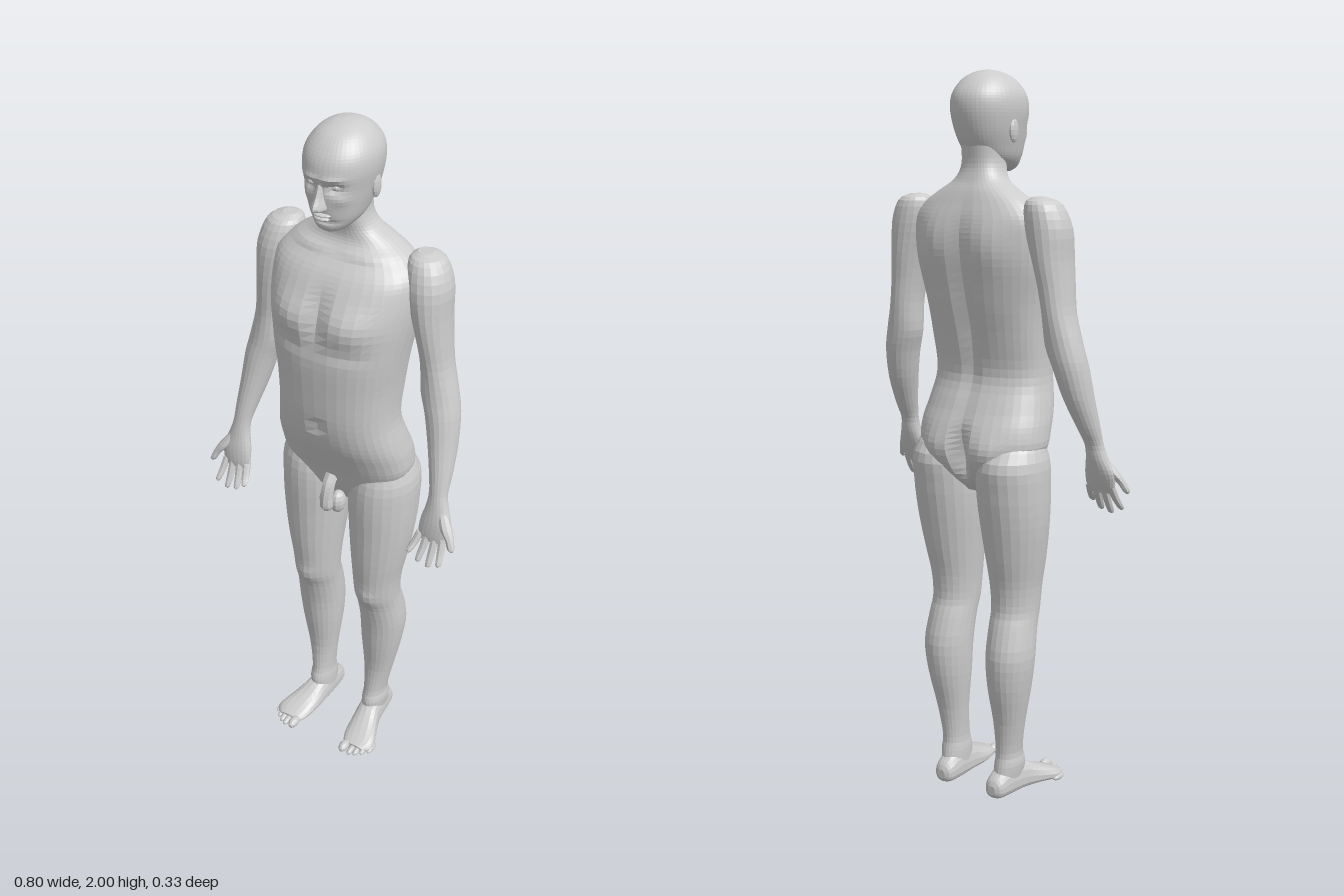
import * as THREE from 'three';

const skin = new THREE.MeshStandardMaterial({ color: 0xcccccc });
skin.name = 'paleGrey';

// Faceted mesh from any geometry
function addPart(group, name, geometry) {
  const flat = geometry.index ? geometry.toNonIndexed() : geometry;
  flat.computeVertexNormals();
  const mesh = new THREE.Mesh(flat, skin);
  mesh.name = name;
  group.add(mesh);
  return mesh;
}

// Smooth skin through level rings [x, y, z, halfWidth, frontZ, backZ].
// Bumps [x, y, z, rx, ry, rz, amount] swell or dent it, mirrored about x = 0 when centred.
function loft(rings, { seg = 20, steps = 3, side = 1, square = 1, bumps = [] } = {}) {
  const centre = new THREE.CatmullRomCurve3(rings.map(r => new THREE.Vector3(r[0], r[1], r[2])), false, 'catmullrom', 0.5);
  const size = new THREE.CatmullRomCurve3(rings.map(r => new THREE.Vector3(r[3], r[4] - r[2], r[2] - r[5])), false, 'catmullrom', 0.5);
  const rows = (rings.length - 1) * steps;
  const pos = [], index = [];
  const bend = v => Math.sign(v) * Math.pow(Math.abs(v), square);
  const flip = (rings[rings.length - 1][1] > rings[0][1]) !== (side > 0);
  const tri = (a, b, c) => (flip ? index.push(a, c, b) : index.push(a, b, c));
  for (let i = 0; i <= rows; i++) {
    const c = centre.getPoint(i / rows), s = size.getPoint(i / rows);
    for (let j = 0; j < seg; j++) {
      const a = (j / seg) * Math.PI * 2;
      const dx = bend(Math.sin(a)), dz = bend(Math.cos(a));
      let x = c.x + s.x * dx, z = c.z + (dz > 0 ? s.y : s.z) * dz;
      let push = 0;
      for (const [bx, by, bz, rx, ry, rz, amount] of bumps) {
        const d = ((Math.abs(x) - bx) / rx) ** 2 + ((c.y - by) / ry) ** 2 + ((z - bz) / rz) ** 2;
        push += amount * Math.exp(-d);
      }
      x += push * Math.sin(a) * 0.5;
      z += push * Math.cos(a);
      pos.push(x * side, c.y, z);
    }
  }
  for (let i = 0; i < rows; i++) {
    for (let j = 0; j < seg; j++) {
      const k = (j + 1) % seg, a = i * seg, b = a + seg;
      tri(a + j, a + k, b + k);
      tri(a + j, b + k, b + j);
    }
  }
  // end caps
  for (const [ring, row, first] of [[rings[0], 0, true], [rings[rings.length - 1], rows, false]]) {
    const mid = pos.length / 3;
    pos.push(ring[0] * side, ring[1], ring[2]);
    for (let j = 0; j < seg; j++) {
      const a = row * seg + j, b = row * seg + (j + 1) % seg;
      first ? tri(mid, b, a) : tri(mid, a, b);
    }
  }
  const g = new THREE.BufferGeometry();
  g.setAttribute('position', new THREE.Float32BufferAttribute(pos, 3));
  g.setIndex(index);
  return g;
}

const blob = (x, y, z, rx, ry, rz, seg = 10) =>
  new THREE.SphereGeometry(1, seg, 8).scale(rx, ry, rz).translate(x, y, z);

// Round tapering digit through [x, y, z, radius] points
const digit = (points, side) => loft(points.map(([x, y, z, r]) => [x, y, z, r, z + r, z - r]), { seg: 8, side });

function buildTorso(body) {
  addPart(body, 'torso', loft([
    [0, 0.88, -0.03, 0.05, 0.02, -0.08], [0, 0.93, -0.03, 0.13, 0.05, -0.125],
    [0, 1.0, -0.03, 0.188, 0.075, -0.145], [0, 1.06, -0.02, 0.193, 0.1, -0.14],
    [0, 1.12, 0, 0.184, 0.125, -0.115], [0, 1.2, 0.01, 0.17, 0.142, -0.085],
    [0, 1.3, 0, 0.174, 0.148, -0.1], [0, 1.4, 0, 0.186, 0.15, -0.125],
    [0, 1.5, -0.02, 0.202, 0.14, -0.14], [0, 1.57, -0.03, 0.206, 0.115, -0.142],
    [0, 1.62, -0.04, 0.2, 0.085, -0.135], [0, 1.66, -0.05, 0.165, 0.045, -0.122],
    [0, 1.69, -0.05, 0.12, 0.022, -0.11], [0, 1.72, -0.04, 0.075, 0.02, -0.095],
    [0, 1.76, -0.03, 0.056, 0.03, -0.085], [0, 1.82, -0.03, 0.056, 0.03, -0.09],
  ], {
    seg: 40, steps: 4, square: 0.84, bumps: [
      [0.085, 1.51, 0.13, 0.065, 0.05, 0.06, 0.017],  // chest muscles
      [0, 1.52, 0.14, 0.012, 0.07, 0.06, -0.012],     // breastbone groove
      [0.09, 1.435, 0.15, 0.07, 0.018, 0.05, -0.007], // crease under the chest
      [0, 1.19, 0.145, 0.012, 0.014, 0.04, -0.014],   // navel
      [0, 1.35, -0.12, 0.02, 0.2, 0.06, -0.018],      // spine
      [0.09, 1.55, -0.14, 0.055, 0.08, 0.05, 0.012],  // shoulder blades
      [0.085, 0.99, -0.14, 0.055, 0.06, 0.06, 0.02],  // buttocks
      [0, 0.98, -0.15, 0.014, 0.07, 0.06, -0.03],     // cleft
      [0.08, 1.665, 0.03, 0.06, 0.01, 0.05, 0.008],   // collarbones
    ],
  }));
  // lower abdomen anatomy
  addPart(body, 'groinFront', digit([
    [0, 0.99, 0.055, 0.02], [0, 0.96, 0.078, 0.019], [0, 0.92, 0.09, 0.018],
    [0, 0.89, 0.09, 0.019], [0, 0.873, 0.088, 0.006],
  ], 1));
  for (const s of [1, -1]) addPart(body, 'groinSide', blob(s * 0.017, 0.892, 0.058, 0.022, 0.036, 0.026));
}

function buildHead(body) {
  const head = new THREE.Group();
  head.name = 'head';
  body.add(head);
  addPart(head, 'skull', loft([
    [0, 1.738, 0.06, 0.018, 0.078, 0.035], [0, 1.75, 0.04, 0.042, 0.094, -0.025],
    [0, 1.775, 0.02, 0.063, 0.101, -0.065], [0, 1.81, 0.01, 0.075, 0.107, -0.092],
    [0, 1.85, 0, 0.085, 0.11, -0.11], [0, 1.9, 0, 0.093, 0.113, -0.121],
    [0, 1.94, 0, 0.088, 0.1, -0.115], [0, 1.975, -0.005, 0.065, 0.068, -0.085],
    [0, 1.994, -0.01, 0.034, 0.028, -0.048], [0, 2.0, -0.01, 0.004, -0.006, -0.014],
  ], {
    seg: 48, steps: 5, square: 0.94, bumps: [
      [0.034, 1.866, 0.1, 0.018, 0.013, 0.05, -0.014], // eye sockets
      [0.03, 1.888, 0.11, 0.03, 0.009, 0.04, 0.006],   // brow
      [0.05, 1.835, 0.09, 0.018, 0.015, 0.04, 0.005],  // cheekbones
      [0, 1.773, 0.1, 0.035, 0.006, 0.04, -0.007],     // fold above the chin
    ],
  }));
  addPart(head, 'nose', loft([
    [0, 1.806, 0.1, 0.01, 0.118, 0.09], [0, 1.812, 0.1, 0.018, 0.137, 0.09],
    [0, 1.822, 0.1, 0.017, 0.142, 0.09], [0, 1.845, 0.1, 0.011, 0.128, 0.09],
    [0, 1.875, 0.1, 0.008, 0.114, 0.09],
  ], { seg: 10 }));
  addPart(head, 'upperLip', blob(0, 1.794, 0.103, 0.026, 0.005, 0.013));
  addPart(head, 'lowerLip', blob(0, 1.783, 0.101, 0.022, 0.006, 0.013));
  for (const s of [1, -1]) {
    addPart(head, 'eye', blob(s * 0.033, 1.866, 0.086, 0.015, 0.009, 0.012));
    addPart(head, 'ear', blob(s * 0.085, 1.845, -0.012, 0.009, 0.032, 0.018).rotateX(0));
  }
}

function buildArm(body, side) {
  const arm = new THREE.Group();
  arm.name = side > 0 ? 'leftArm' : 'rightArm';
  body.add(arm);
  addPart(arm, 'armAndPalm', loft([
    [0.2, 1.678, -0.06, 0.02, -0.04, -0.08], [0.21, 1.66, -0.055, 0.048, -0.005, -0.107],
    [0.222, 1.6, -0.05, 0.06, 0.02, -0.115], [0.234, 1.52, -0.045, 0.05, 0.024, -0.113],
    [0.245, 1.45, -0.045, 0.044, 0.018, -0.105], [0.255, 1.38, -0.045, 0.042, 0.01, -0.1],
    [0.268, 1.3, -0.04, 0.05, 0.012, -0.092], [0.284, 1.24, -0.032, 0.047, 0.02, -0.083],
    [0.298, 1.16, -0.015, 0.04, 0.032, -0.06], [0.311, 1.08, 0.015, 0.031, 0.048, -0.02],
    [0.317, 1.03, 0.035, 0.026, 0.058, 0.01], [0.321, 0.99, 0.045, 0.033, 0.067, 0.02],
    [0.324, 0.95, 0.055, 0.045, 0.076, 0.033], [0.321, 0.915, 0.064, 0.044, 0.08, 0.047],
    [0.32, 0.893, 0.07, 0.038, 0.08, 0.058],
  ], { side }));
  // little finger to index finger: base x, tip x, tip y
  for (const [bx, tx, ty] of [[0.286, 0.272, 0.855], [0.308, 0.3, 0.835], [0.331, 0.331, 0.828], [0.353, 0.362, 0.842]]) {
    const my = (0.91 + ty) / 2;
    addPart(arm, 'finger', digit([[bx, 0.91, 0.066, 0.012], [(bx + tx) / 2, my, 0.084, 0.011],
      [tx, ty + 0.008, 0.102, 0.009], [tx, ty, 0.106, 0.003]], side));
  }
  addPart(arm, 'thumb', digit([[0.34, 0.985, 0.052, 0.012], [0.36, 0.95, 0.066, 0.017],
    [0.378, 0.925, 0.078, 0.012], [0.388, 0.903, 0.086, 0.01], [0.391, 0.894, 0.088, 0.003]], side));
}

function buildLeg(body, side) {
  const leg = new THREE.Group();
  leg.name = side > 0 ? 'leftLeg' : 'rightLeg';
  body.add(leg);
  addPart(leg, 'thighAndCalf', loft([
    [0.115, 1.06, -0.03, 0.055, 0.03, -0.08], [0.11, 0.98, -0.04, 0.093, 0.062, -0.152],
    [0.108, 0.9, -0.04, 0.099, 0.07, -0.15], [0.108, 0.8, -0.035, 0.094, 0.068, -0.134],
    [0.106, 0.7, -0.025, 0.082, 0.065, -0.115], [0.103, 0.62, -0.02, 0.071, 0.059, -0.098],
    [0.103, 0.55, -0.02, 0.066, 0.05, -0.095], [0.105, 0.5, -0.035, 0.066, 0.034, -0.11],
    [0.108, 0.42, -0.05, 0.068, 0.018, -0.128], [0.105, 0.33, -0.05, 0.061, 0.01, -0.12],
    [0.1, 0.22, -0.045, 0.045, 0.0, -0.094], [0.095, 0.13, -0.04, 0.034, 0.008, -0.084],
    [0.095, 0.09, -0.04, 0.037, 0.02, -0.09], [0.092, 0.04, -0.04, 0.034, 0.02, -0.098],
  ], { seg: 24, side, bumps: [[0.103, 0.56, 0.05, 0.03, 0.03, 0.03, 0.008]] }));
  // foot lofted heel to ball, then tipped forward so its rings face z
  addPart(leg, 'foot', loft([
    [0.09, -0.118, -0.028, 0.012, -0.015, -0.042], [0.09, -0.105, -0.028, 0.029, -0.002, -0.062],
    [0.092, -0.06, -0.03, 0.036, 0, -0.09], [0.096, 0, -0.025, 0.038, 0, -0.086],
    [0.106, 0.05, -0.02, 0.046, 0, -0.06], [0.118, 0.095, -0.016, 0.052, 0, -0.041],
    [0.121, 0.12, -0.014, 0.047, 0, -0.031], [0.119, 0.137, -0.014, 0.034, -0.002, -0.024],
  ], { seg: 18, side, square: 0.85 }).rotateX(Math.PI / 2));
  // toes, big to small
  for (let i = 0; i < 5; i++) {
    const r = i === 0 ? 0.015 : 0.0105 - i * 0.0005;
    const x = i === 0 ? 0.093 : 0.101 + i * 0.0165;
    const z = 0.147 - i * i * 0.0025;
    addPart(leg, 'toe', blob(side * x, r, z, r, r, 0.025));
  }
}

export function createModel() {
  const body = new THREE.Group();
  body.name = 'standingFigure';
  buildTorso(body);
  buildHead(body);
  for (const side of [1, -1]) {
    buildArm(body, side);
    buildLeg(body, side);
  }
  return body;
}
